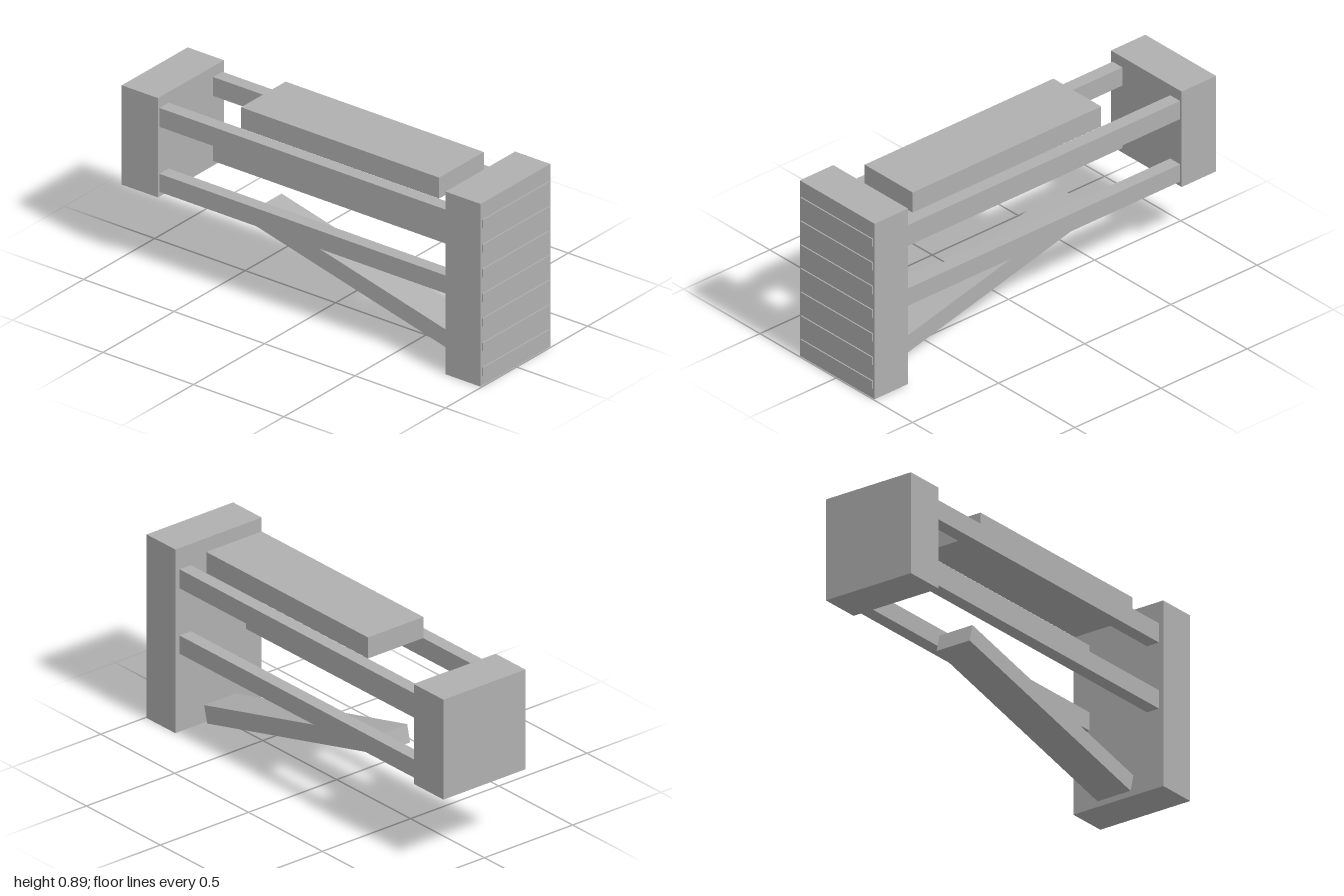
import * as THREE from 'three';

export function createModel() {
  const model = new THREE.Group();
  model.name = 'bench';
  const grey = new THREE.MeshStandardMaterial({ color: 0xb0b0b0 });
  grey.name = 'plain grey';

  // Box given by its size and centre
  function box(name, [w, h, d], [x, y, z]) {
    const mesh = new THREE.Mesh(new THREE.BoxGeometry(w, h, d), grey);
    mesh.name = name;
    mesh.position.set(x, y, z);
    model.add(mesh);
    return mesh;
  }

  // Tall front panel with seven thin slats on its face
  box('frontPanel', [0.49, 0.89, 0.194], [0, 0.445, 0.897]);
  for (let i = 0; i < 7; i++) {
    box('frontSlat', [0.47, 0.04, 0.012], [0, 0.07 + i * 0.12, 0.994]);
  }

  // Shorter raised rear block
  box('rearBlock', [0.464, 0.484, 0.2], [0, 0.597, -0.9]);

  // Upper and lower rails on both sides
  for (const side of [-1, 1]) {
    box('upperRail', [0.065, 0.092, 1.6], [side * 0.189, 0.741, 0]);
    box('lowerRail', [0.065, 0.088, 1.6], [side * 0.189, 0.422, 0]);
  }

  // Top slab between the rails
  box('topSlab', [0.314, 0.102, 1.095], [0, 0.839, 0.148]);

  // Sloping strut, low at the front
  const strut = box('slopingStrut', [0.18, 0.084, 1.195], [0, 0.195, 0.2]);
  strut.rotation.x = 0.245;

  return model;
}
